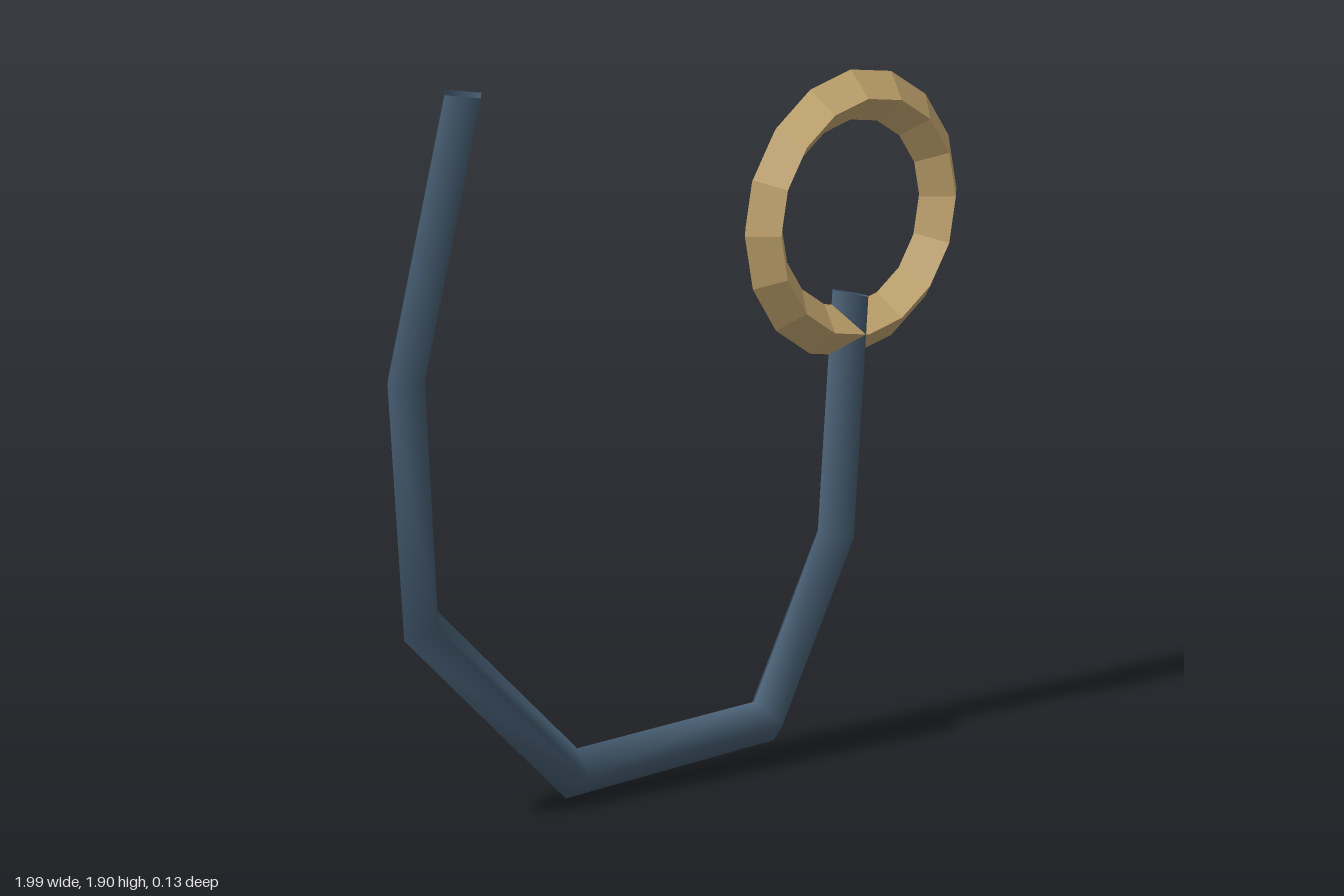
import * as THREE from 'three';

const RADIUS = 0.065;

// Square-section tube swept through [x, y, outward angle in degrees]
function bentTube(stations, radius) {
  const sides = 4, pos = [], nor = [], index = [];
  for (const [x, y, deg] of stations) {
    const a = THREE.MathUtils.degToRad(deg);
    for (let j = 0; j <= sides; j++) {
      const phi = (j / sides) * Math.PI * 2;
      const n = [Math.cos(phi) * Math.cos(a), Math.cos(phi) * Math.sin(a), Math.sin(phi)];
      nor.push(...n);
      pos.push(x + n[0] * radius, y + n[1] * radius, n[2] * radius);
    }
  }
  for (let i = 0; i < stations.length - 1; i++) {
    for (let j = 0; j < sides; j++) {
      const a = i * (sides + 1) + j, b = a + sides + 1;
      index.push(a, b, b + 1, a, b + 1, a + 1);
    }
  }
  const geo = new THREE.BufferGeometry();
  geo.setAttribute('position', new THREE.Float32BufferAttribute(pos, 3));
  geo.setAttribute('normal', new THREE.Float32BufferAttribute(nor, 3));
  geo.setIndex(index);
  return geo;
}

export function createModel() {
  const group = new THREE.Group();
  group.name = 'hookWithRing';

  const steel = new THREE.MeshStandardMaterial({ color: 0x465d72, side: THREE.DoubleSide });
  steel.name = 'blue steel';
  const brass = new THREE.MeshStandardMaterial({ color: 0xc8a972, flatShading: true });
  brass.name = 'pale brass';

  // Open-ended hook, from the free tip round to the ring
  const hook = new THREE.Mesh(bentTube([
    [-0.735, 1.897, 173],
    [-0.935, 1.185, 179],
    [-0.883, 0.54, 206],
    [-0.355, 0.067, 252],
    [0.322, 0.087, 301],
    [0.572, 0.53, 348],
    [0.623, 1.147, 343.5],
  ], RADIUS), steel);
  hook.name = 'hook';
  group.add(hook);

  // Faceted ring around the shank end
  const ring = new THREE.Mesh(new THREE.TorusGeometry(0.306, RADIUS, 4, 16), brass);
  ring.name = 'ring';
  ring.position.set(0.624, 1.355, 0);
  group.add(ring);

  return group;
}
